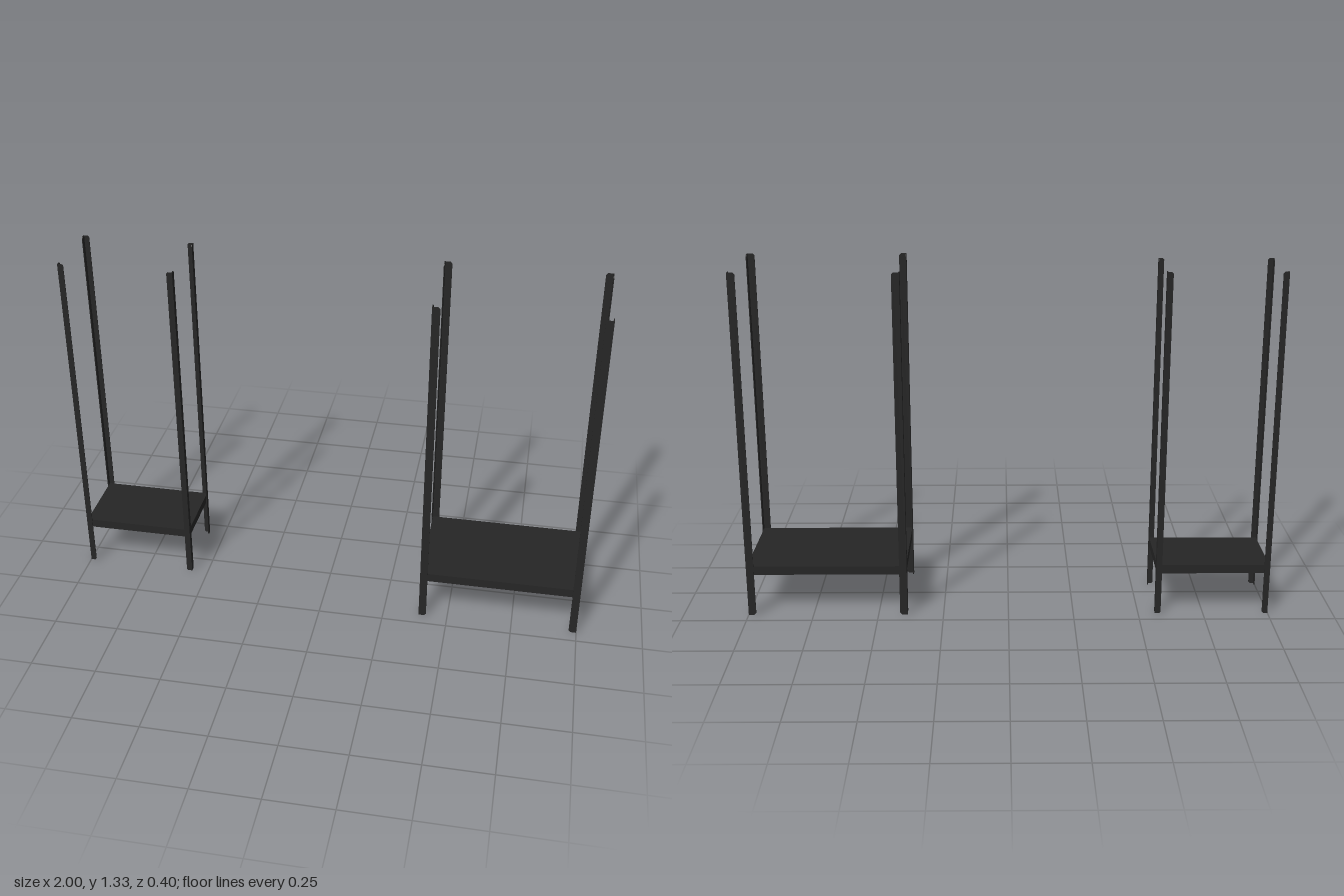
import * as THREE from 'three';

const HEIGHT = 1.33, SHEET = 0.003;
const SHELF_TOP = 0.2, SHELF_DEPTH = 0.034, LIP = 0.016;
const metal = new THREE.MeshStandardMaterial({ color: 0x262626 });

// One flange of an angle post: a tall strip whose free edge has clipped corners
function flangeGeometry(width) {
  const c = width * 0.25;
  const s = new THREE.Shape();
  s.moveTo(0, 0);
  s.lineTo(width - c, 0);
  s.lineTo(width, c);
  s.lineTo(width, HEIGHT - c);
  s.lineTo(width - c, HEIGHT);
  s.lineTo(0, HEIGHT);
  s.closePath();
  return new THREE.ExtrudeGeometry(s, { depth: SHEET, bevelEnabled: false });
}

// L-section post with its outer corner at the origin, opening towards (dx, dz)
function anglePost(width, dx, dz) {
  const post = new THREE.Group();
  post.name = 'anglePost';
  const alongX = new THREE.Mesh(flangeGeometry(width), metal);
  alongX.name = 'postFlangeX';
  alongX.rotation.y = dx > 0 ? 0 : Math.PI;
  alongX.position.z = (dz - dx) * SHEET / 2;
  const alongZ = new THREE.Mesh(flangeGeometry(width), metal);
  alongZ.name = 'postFlangeZ';
  alongZ.rotation.y = -dz * Math.PI / 2;
  alongZ.position.x = (dx + dz) * SHEET / 2;
  post.add(alongX, alongZ);
  return post;
}

// Folded sheet shelf: flat top, four sides, and a lip turned in at the bottom
function trayShelf(w, d) {
  const shelf = new THREE.Group();
  shelf.name = 'shelf';
  const add = (name, sx, sy, sz, x, y, z) => {
    const m = new THREE.Mesh(new THREE.BoxGeometry(sx, sy, sz), metal);
    m.name = name;
    m.position.set(x, y, z);
    shelf.add(m);
  };
  const bottom = SHELF_TOP - SHELF_DEPTH, mid = SHELF_TOP - SHELF_DEPTH / 2;
  add('shelfTop', w, SHEET, d, 0, SHELF_TOP - SHEET / 2, 0);
  for (const s of [-1, 1]) {
    add('shelfLongSide', w, SHELF_DEPTH, SHEET, 0, mid, s * (d - SHEET) / 2);
    add('shelfShortSide', SHEET, SHELF_DEPTH, d, s * (w - SHEET) / 2, mid, 0);
    add('shelfLongLip', w, SHEET, LIP, 0, bottom + SHEET / 2, s * (d - LIP) / 2);
    add('shelfShortLip', LIP, SHEET, d - 2 * LIP, s * (w - LIP) / 2, bottom + SHEET / 2, 0);
  }
  return shelf;
}

// Rack: four angle posts around one low shelf
function rack(name, x0, x1, z0, z1, flange) {
  const group = new THREE.Group();
  group.name = name;
  const w = x1 - x0, d = z1 - z0;
  for (const sx of [-1, 1]) for (const sz of [-1, 1]) {
    const post = anglePost(flange, -sx, -sz);
    post.position.set(sx * w / 2, 0, sz * d / 2);
    group.add(post);
  }
  group.add(trayShelf(w - 2 * SHEET, d - 2 * SHEET));
  group.position.set((x0 + x1) / 2, 0, (z0 + z1) / 2);
  return group;
}

export function createModel() {
  const model = new THREE.Group();
  model.name = 'shelfRacks';
  model.add(
    rack('smallRack', -1, -0.565, -0.197, 0.085, 0.022),
    rack('largeRack', 0.388, 1, -0.2, 0.2, 0.029)
  );
  return model;
}
